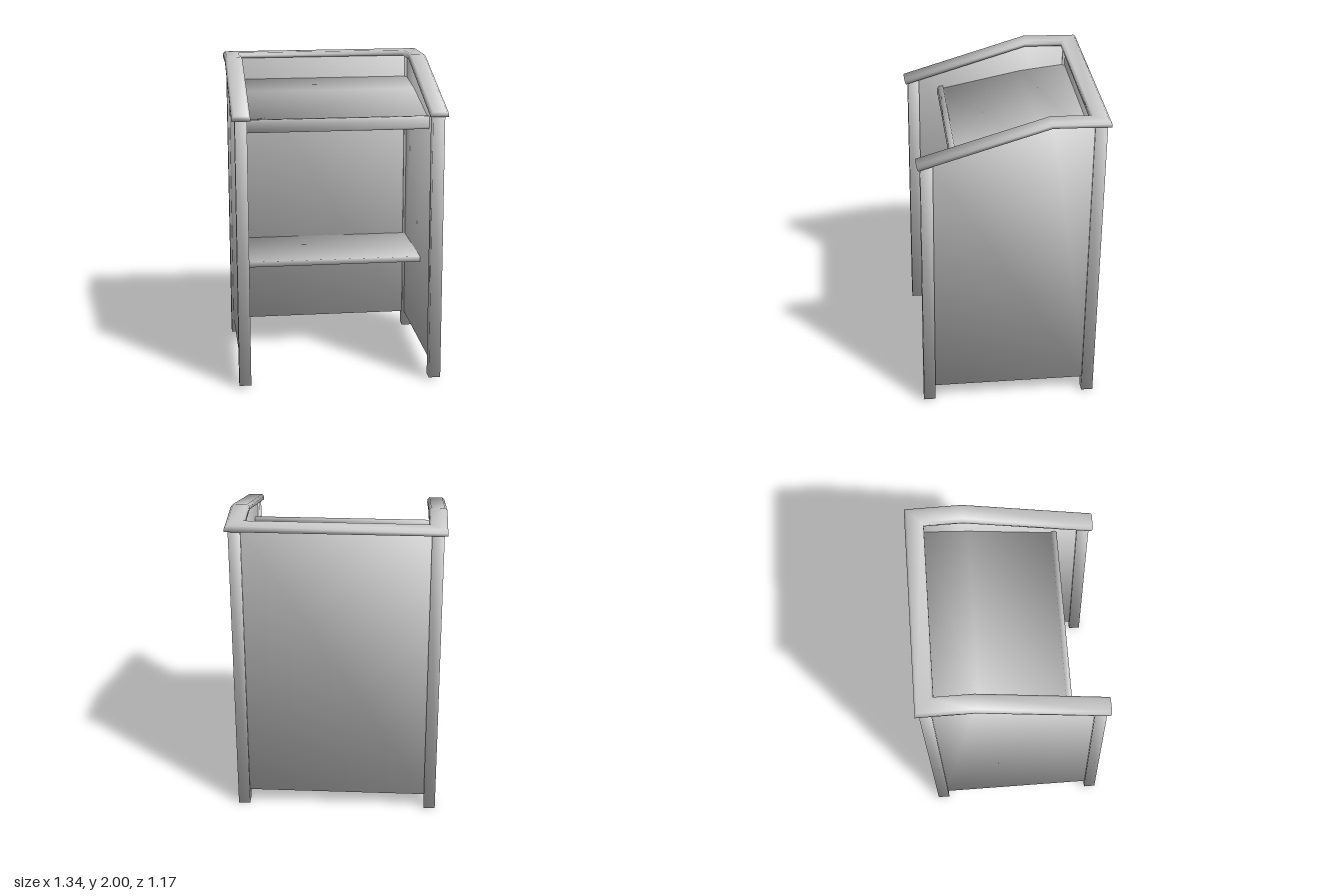
import * as THREE from 'three';
import { mergeVertices } from 'three/addons/utils/BufferGeometryUtils.js';

const material = new THREE.MeshStandardMaterial({ color: 0xcccccc });

// Weld the corners and give each one the angle-weighted mean of its faces' normals
function smooth(source) {
  source.deleteAttribute('normal');
  source.deleteAttribute('uv');
  const geometry = mergeVertices(source);
  const pos = geometry.attributes.position, index = geometry.index;
  const normals = Array.from({ length: pos.count }, () => new THREE.Vector3());
  for (let t = 0; t < index.count; t += 3) {
    const ids = [0, 1, 2].map((k) => index.getX(t + k));
    const p = ids.map((i) => new THREE.Vector3().fromBufferAttribute(pos, i));
    const face = new THREE.Triangle(...p).getNormal(new THREE.Vector3());
    for (let k = 0; k < 3; k++) {
      const a = p[(k + 1) % 3].clone().sub(p[k]);
      const b = p[(k + 2) % 3].clone().sub(p[k]);
      normals[ids[k]].addScaledVector(face, a.angleTo(b));
    }
  }
  const flat = normals.flatMap((v) => v.normalize().toArray());
  geometry.setAttribute('normal', new THREE.Float32BufferAttribute(flat, 3));
  return geometry;
}

function add(parent, name, geometry, x = 0, y = 0, z = 0) {
  const mesh = new THREE.Mesh(geometry, material);
  mesh.name = name;
  mesh.position.set(x, y, z);
  parent.add(mesh);
}

// Soft-shaded box given by its minimum and maximum corners
function block(parent, name, min, max) {
  const [w, h, d] = max.map((v, i) => v - min[i]);
  const mid = max.map((v, i) => (v + min[i]) / 2);
  add(parent, name, smooth(new THREE.BoxGeometry(h, w, d).rotateZ(Math.PI / 2)), ...mid);
}

// Side profile of [z, y] points, extruded along x and centred on x = 0
function sideExtrude(points, width) {
  const shape = new THREE.Shape(points.map(([z, y]) => new THREE.Vector2(-z, y)));
  const geometry = new THREE.ExtrudeGeometry(shape, { depth: width, bevelEnabled: false });
  return smooth(geometry.translate(0, 0, -width / 2).rotateY(Math.PI / 2));
}

// U-shaped top rail: one chamfered section swept along a mitred path
function railGeometry() {
  const half = 0.0575, thick = 0.035, c = 0.015;
  const section = [[-half, -thick], [half, -thick], [half, -c], [half - c, 0], [c - half, 0], [-half, -c]];
  // Centre point, across direction, up direction
  const leftHalf = [
    { p: [0.6125, 1.755, 0.61], across: [1, 0, 0], up: [0, 0.95, 0.3] },
    { p: [0.6125, 2.003, -0.2], across: [1, 0, 0], up: [0, 1, 0] },
    { p: [0.6125, 1.998, -0.4985], across: [1, 0, -1], up: [0, 1, 0] },
  ];
  const mirror = ([x, y, z]) => [-x, y, z];
  const rightHalf = leftHalf.map((s) => ({ p: mirror(s.p), across: mirror(s.across), up: s.up })).reverse();
  const rings = [...leftHalf, ...rightHalf].map((s) =>
    section.map(([u, v]) => s.p.map((q, i) => q + (s.across[0] < 0 ? -u : u) * Math.sign(s.across[0]) * s.across[i] + v * s.up[i])));

  const positions = [];
  const tri = (...corners) => positions.push(...corners.flat());
  const n = section.length;
  for (let i = 0; i < rings.length - 1; i++) {
    for (let j = 0; j < n; j++) {
      const k = (j + 1) % n, A = rings[i], B = rings[i + 1];
      tri(A[j], B[j], A[k]);
      tri(A[k], B[j], B[k]);
    }
  }
  const first = rings[0], last = rings[rings.length - 1];
  for (let j = 1; j < n - 1; j++) {
    tri(first[0], first[j], first[j + 1]);
    tri(last[0], last[j + 1], last[j]);
  }
  const geometry = new THREE.BufferGeometry();
  geometry.setAttribute('position', new THREE.Float32BufferAttribute(positions, 3));
  return smooth(geometry);
}

export function createModel() {
  const model = new THREE.Group();
  model.name = 'lectern';
  const body = new THREE.Group();
  body.name = 'body';
  body.rotation.x = -0.0145; // slight backward lean
  model.add(body);

  // Corner legs and side panels
  const panelGeometry = sideExtrude(
    [[0.53, 0.107], [0.53, 1.75], [-0.2, 1.978], [-0.48, 1.975], [-0.48, 0.107]], 0.045);
  for (const [side, s] of [['left', 1], ['right', -1]]) {
    const x0 = s * 0.6125 - 0.0375, x1 = s * 0.6125 + 0.0375;
    block(body, side + 'FrontLeg', [x0, 0.008, 0.51], [x1, 1.745, 0.585]);
    block(body, side + 'BackLeg', [x0, 0.008, -0.535], [x1, 1.98, -0.46]);
    add(body, side + 'Panel', panelGeometry, s * 0.6125);
  }

  // Back panel
  block(body, 'backPanel', [-0.59, 0.107, -0.52], [0.59, 1.975, -0.475]);

  // Top rail
  add(body, 'topRail', railGeometry());

  // Sloping reading desk with a raised front lip
  add(body, 'readingDesk', sideExtrude([
    [0.374, 1.605], [0.384, 1.62], [0.384, 1.672], [0.374, 1.687], [0.349, 1.687],
    [0.344, 1.67], [-0.174, 1.778], [-0.48, 1.815],
    [-0.48, 1.78], [-0.174, 1.743], [0.344, 1.637], [0.349, 1.605],
  ], 1.184));

  // Lower shelf
  block(body, 'shelf', [-0.592, 0.657, -0.48], [0.592, 0.693, 0.13]);

  return model;
}
